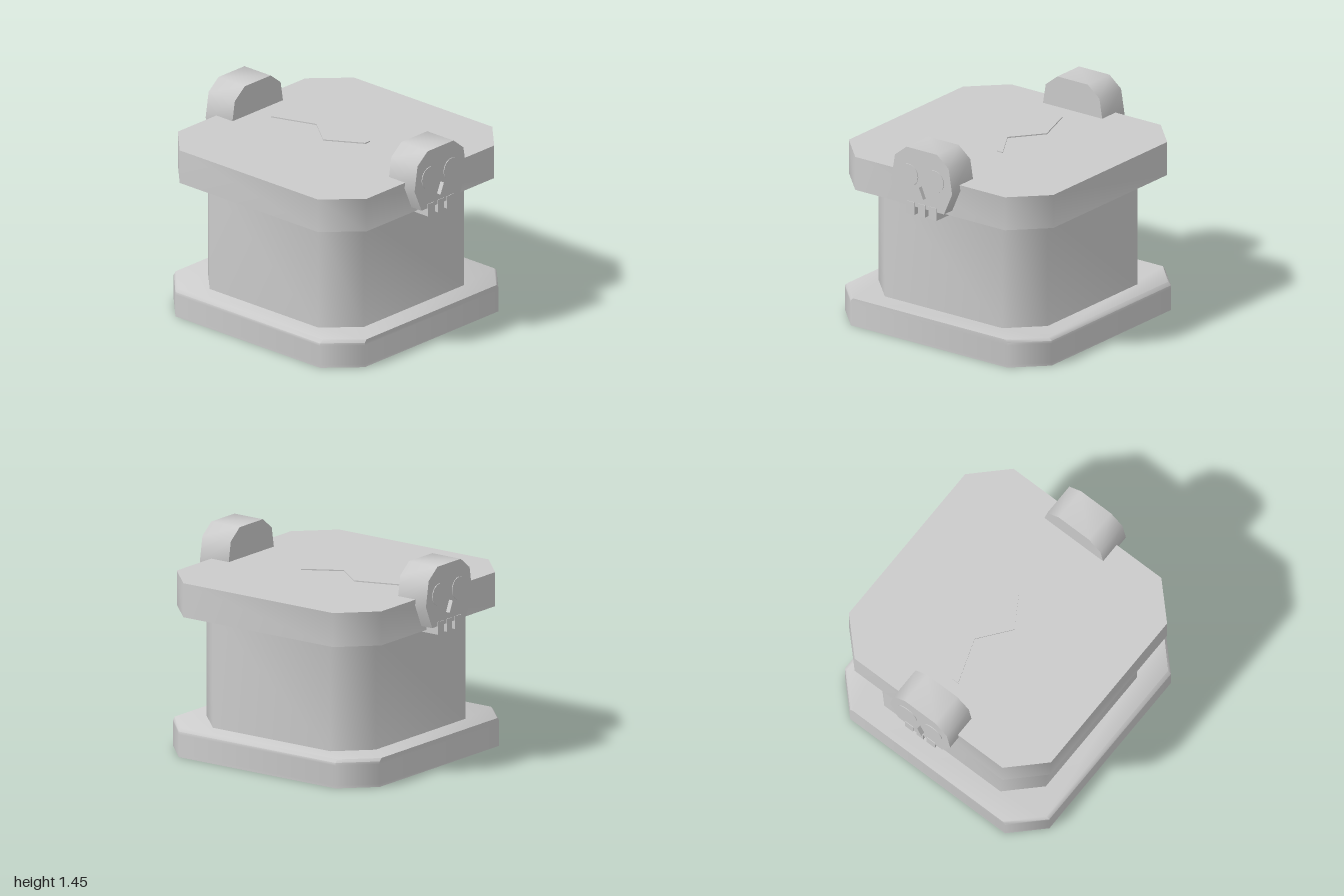
import * as THREE from 'three';
import { toCreasedNormals } from 'three/addons/utils/BufferGeometryUtils.js';

const material = new THREE.MeshStandardMaterial({ color: 0xcccccc });

function addMesh(parent, name, geometry) {
  const mesh = new THREE.Mesh(geometry, material);
  mesh.name = name;
  parent.add(mesh);
  return mesh;
}

function polygon(points) {
  return new THREE.Shape(points.map(([x, y]) => new THREE.Vector2(x, y)));
}

// Extrudes a point outline along z, starting at z0
function extrude(points, z0, depth, steps = 1) {
  const geometry = new THREE.ExtrudeGeometry(polygon(points), { depth, steps, bevelEnabled: false });
  return geometry.translate(0, 0, z0);
}

// Upright square block with its four corners cut off
function cutBlock(half, cut, y0, y1, steps = 1) {
  const h = half, i = half - cut;
  const outline = [[h, -i], [h, i], [i, h], [-i, h], [-h, i], [-h, -i], [-i, -h], [i, -h]];
  return extrude(outline, y0, y1 - y0, steps).rotateX(-Math.PI / 2);
}

const smooth = (geometry) => toCreasedNormals(geometry, 0.92);

// Skull ornament facing +z
function createSkull() {
  const skull = new THREE.Group();
  const half = [[0.19, 1.03], [0.26, 1.19], [0.23, 1.37], [0.13, 1.45]];
  const outline = [...half, ...half.map(([x, y]) => [-x, y]).reverse()];
  addMesh(skull, 'cranium', smooth(extrude(outline, 0.725, 0.243)));

  for (const side of [-1, 1]) {
    const eye = new THREE.CylinderGeometry(0.08, 0.08, 0.02, 20).rotateX(Math.PI / 2);
    addMesh(skull, 'eye', eye.translate(side * 0.11, 1.25, 0.963));
  }

  addMesh(skull, 'nose', extrude([[-0.035, 1.11], [0.035, 1.11], [0, 1.19]], 0.95, 0.05));

  for (const x of [-0.095, 0, 0.095]) {
    const width = x === 0 ? 0.06 : 0.07;
    addMesh(skull, 'tooth', new THREE.BoxGeometry(width, 0.09, 0.18).translate(x, 1.015, 0.882));
  }
  return skull;
}

export function createModel() {
  const model = new THREE.Group();
  model.name = 'chest';

  // Base with its top edge drawn in on both sides
  const base = cutBlock(0.885, 0.215, 0, 0.2, 10);
  const position = base.attributes.position;
  for (let i = 0; i < position.count; i++) {
    if (position.getY(i) > 0.19) position.setX(i, position.getX(i) * 0.972);
  }
  addMesh(model, 'base', smooth(base));

  addMesh(model, 'body', smooth(cutBlock(0.723, 0.22, 0.19, 1.0)));
  addMesh(model, 'lid', smooth(cutBlock(0.875, 0.235, 0.99, 1.23)));

  // Zigzag crack lying on the lid
  const path = [[0, 0.58], [0.11, 0.26], [-0.06, 0.04], [0.09, -0.21]];
  const crack = [
    ...path.map(([x, y]) => [x - 0.025, y]),
    ...path.map(([x, y]) => [x + 0.025, y]).reverse(),
  ];
  addMesh(model, 'crack', extrude(crack, 1.22, 0.018).rotateX(-Math.PI / 2));

  // One skull at the front, one at the back
  const frontSkull = createSkull();
  frontSkull.name = 'frontSkull';
  const backSkull = createSkull();
  backSkull.name = 'backSkull';
  backSkull.rotation.y = Math.PI;
  model.add(frontSkull, backSkull);

  return model;
}
